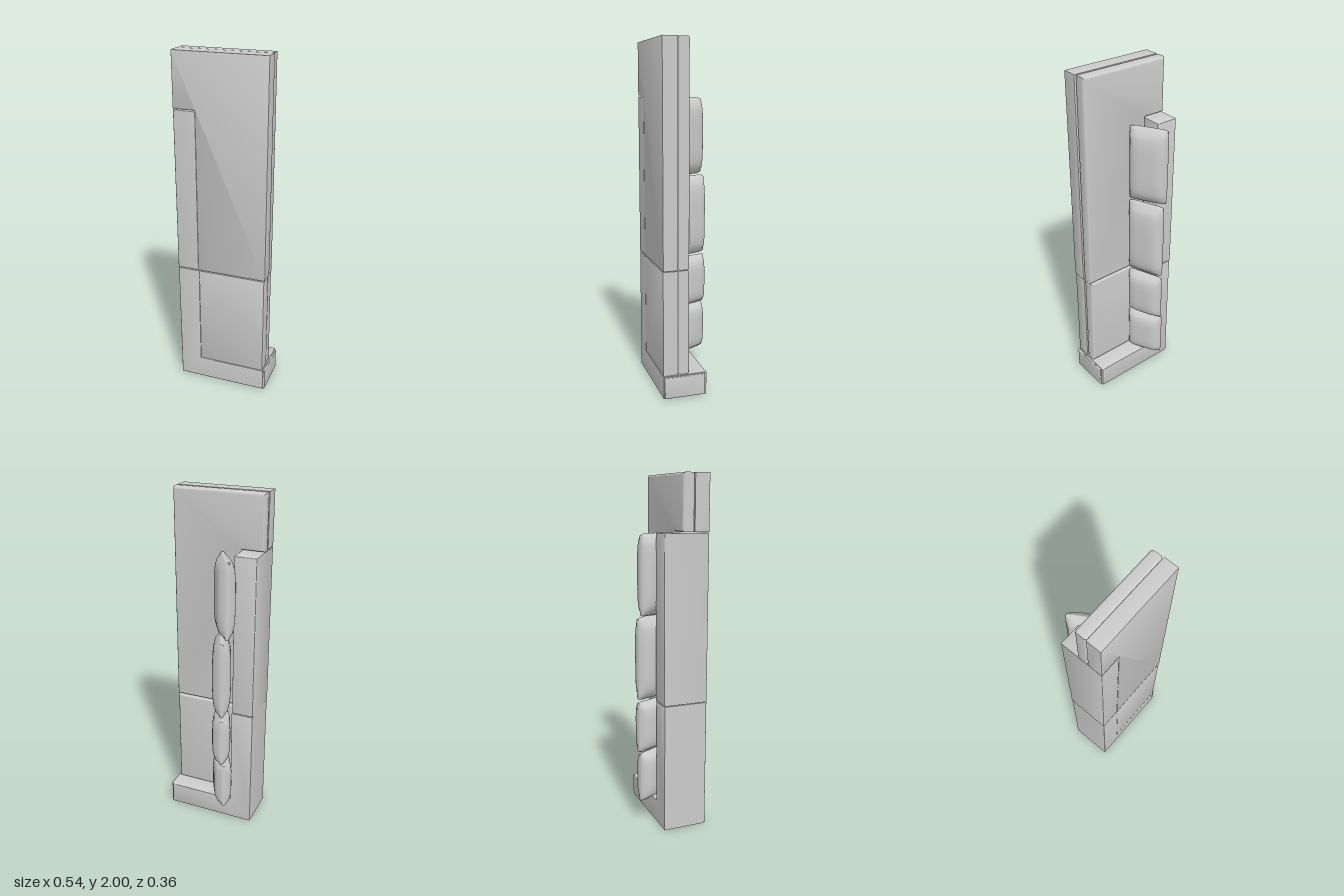
import * as THREE from 'three';
import { toCreasedNormals } from 'three/addons/utils/BufferGeometryUtils.js';

const material = new THREE.MeshStandardMaterial({ color: 0xcccccc });

// Solid with an outline in x/y, reaching from z0 to z1, with rounded rims
function slab(name, outline, z0, z1, bevel) {
  const shape = new THREE.Shape(outline.map(([x, y]) => new THREE.Vector2(x, y)));
  const geometry = new THREE.ExtrudeGeometry(shape, {
    depth: z1 - z0 - 2 * bevel, bevelEnabled: true, bevelSegments: 4,
    bevelSize: bevel, bevelThickness: bevel, bevelOffset: -bevel,
  });
  geometry.translate(0, 0, z0 + bevel);
  const mesh = new THREE.Mesh(toCreasedNormals(geometry, 0.6), material);
  mesh.name = name;
  return mesh;
}

const rect = (x0, y0, x1, y1) => [[x0, y0], [x1, y0], [x1, y1], [x0, y1]];

// Plump cushion: a fine box thinned towards its rim, with slightly hollow edges
function pillow(name, width, height, thickness) {
  const geometry = new THREE.BoxGeometry(2, 2, 2, 16, 16, 4);
  const p = geometry.attributes.position;
  for (let i = 0; i < p.count; i++) {
    const u = p.getX(i), v = p.getY(i), w = p.getZ(i);
    const puff = Math.sqrt((1 - u ** 4) * (1 - v ** 4));
    const rim = 1 - 0.04 * w * w;
    p.setXYZ(i,
      u * rim * (1 - 0.05 * (1 - u * u) - 0.03 * v ** 8) * width / 2,
      v * rim * (1 - 0.03 * u ** 8) * height / 2,
      w * (0.22 + 0.78 * puff) * thickness / 2);
  }
  const mesh = new THREE.Mesh(toCreasedNormals(geometry, 1.1), material);
  mesh.name = name;
  return mesh;
}

// Sofa stood on end: its length runs along y, its underside faces +z
export function createModel() {
  const sofa = new THREE.Group();
  sofa.name = 'sofa';

  // Arm and lower backrest in one L-shaped frame
  sofa.add(slab('armAndBackrest', [
    [-0.27, 0], [0.26, 0], [0.26, 0.133], [-0.14, 0.133], [-0.14, 0.743], [-0.27, 0.743],
  ], -0.075, 0.18, 0.003));

  // Slightly bulging panel on the end of the arm
  const panel = slab('armPanel', rect(-0.122, 0.003, 0.116, 0.13), 0, 0.014, 0.006);
  panel.rotation.y = Math.PI / 2;
  panel.position.set(0.258, 0, 0.055);
  sofa.add(panel);

  // Upper backrest
  sofa.add(slab('backrest', rect(-0.272, 0.747, -0.145, 1.688), -0.078, 0.18, 0.004));

  // Bases and seat cushions: a plain section and one wrapping past the backrest
  const plain = (x) => rect(-0.14, 0.135, x, 0.742);
  const wrapped = (x) => [
    [-0.145, 0.747], [x, 0.747], [x, 2], [-0.272, 2], [-0.272, 1.693], [-0.145, 1.693],
  ];
  sofa.add(slab('lowerBase', plain(0.255), 0.095, 0.18, 0.002));
  sofa.add(slab('upperBase', wrapped(0.26), 0.095, 0.18, 0.002));
  sofa.add(slab('lowerSeatCushion', plain(0.253), 0.026, 0.094, 0.014));
  sofa.add(slab('upperSeatCushion', wrapped(0.256), 0.026, 0.094, 0.014));

  // Loose pillows leaning on the backrest: y from, y to, x, z, lean in degrees
  [
    [0.138, 0.435, -0.083, -0.074, 63],
    [0.436, 0.739, -0.077, -0.076, 68],
    [0.75, 1.228, -0.077, -0.076, 68],
    [1.233, 1.684, -0.09, -0.071, 60],
  ].forEach(([y0, y1, x, z, lean], i) => {
    const mesh = pillow('pillow' + (i + 1), 0.222, y1 - y0, 0.108);
    mesh.position.set(x, (y0 + y1) / 2, z);
    mesh.rotation.y = -THREE.MathUtils.degToRad(lean);
    sofa.add(mesh);
  });

  return sofa;
}
